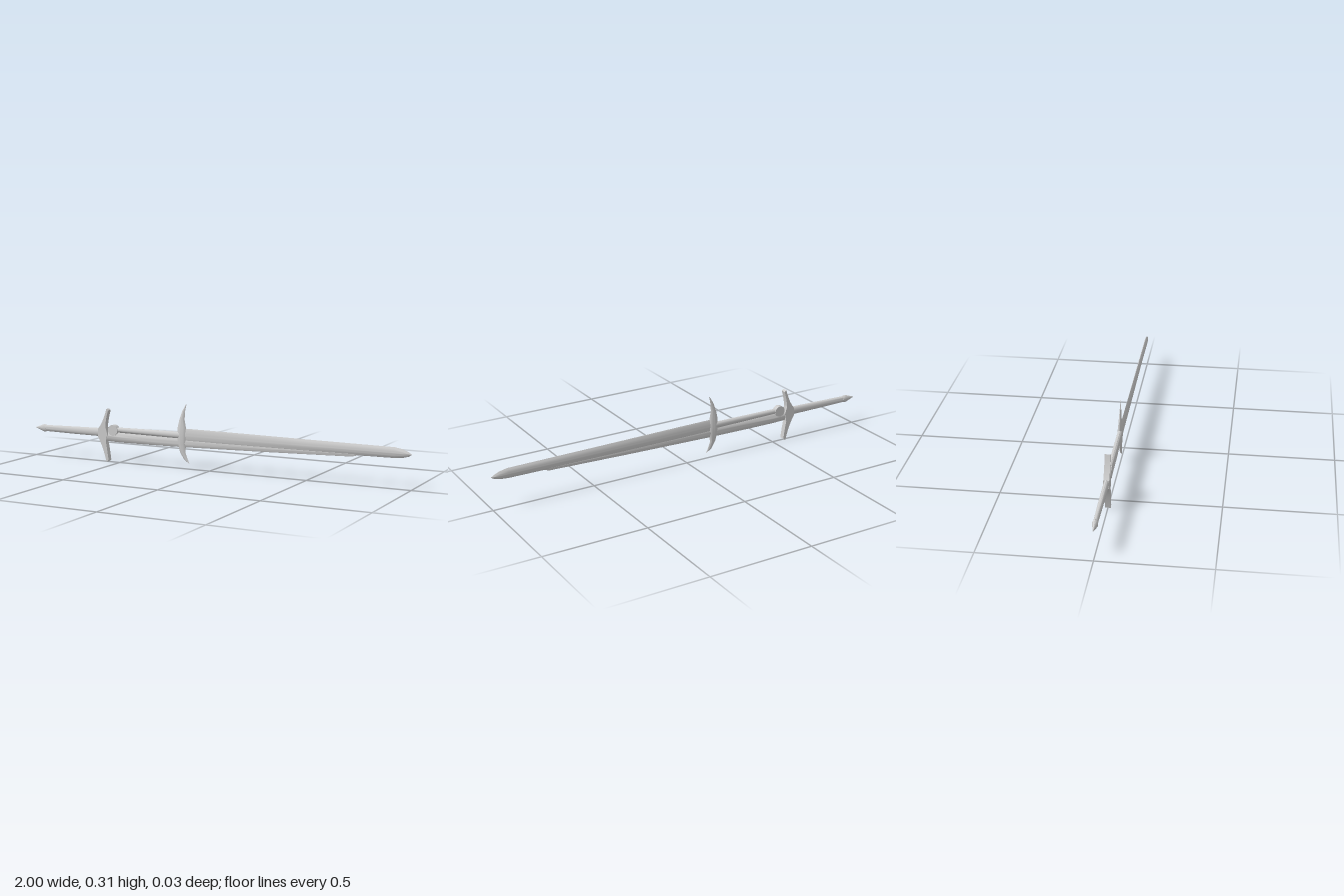
import * as THREE from 'three';
import { toCreasedNormals } from 'three/addons/utils/BufferGeometryUtils.js';

const material = new THREE.MeshStandardMaterial({ color: 0xcccccc });

// Loft through stations [along, low, high, halfDepth].
// power 1 gives an oval section, 2 a diamond; upright runs the loft along y.
function loft(stations, power, sides, upright = false) {
  const pos = [], index = [];
  const bend = v => Math.sign(v) * Math.abs(v) ** power;
  const add = (a, b, z) => (upright ? pos.push(b, a, z) : pos.push(a, b, z));
  const face = (a, b, c) => (upright ? index.push(a, c, b) : index.push(a, b, c));
  for (const [along, low, high, depth] of stations) {
    for (let j = 0; j < sides; j++) {
      const t = (j / sides) * Math.PI * 2;
      add(along, (low + high) / 2 + ((high - low) / 2) * bend(Math.sin(t)), depth * bend(Math.cos(t)));
    }
  }
  const last = stations.length - 1;
  const start = pos.length / 3;
  for (const s of [stations[0], stations[last]]) add(s[0], (s[1] + s[2]) / 2, 0);
  for (let j = 0; j < sides; j++) {
    const k = (j + 1) % sides;
    for (let i = 0; i < last; i++) {
      const a = i * sides, b = a + sides;
      face(a + j, b + j, a + k);
      face(b + j, b + k, a + k);
    }
    face(start, j, k);
    face(start + 1, last * sides + k, last * sides + j);
  }
  const geometry = new THREE.BufferGeometry();
  geometry.setAttribute('position', new THREE.Float32BufferAttribute(pos, 3));
  geometry.setIndex(index);
  return toCreasedNormals(geometry, 0.6);
}

export function createModel() {
  const group = new THREE.Group();
  const part = (name, geometry) => {
    const mesh = new THREE.Mesh(geometry, material);
    mesh.name = name;
    group.add(mesh);
    return mesh;
  };

  // Pointed pommel and oval grip
  part('pommel', loft([
    [-1, 0.141, 0.143, 0.001], [-0.945, 0.123, 0.163, 0.013], [-0.932, 0.126, 0.159, 0.011],
  ], 1, 12));
  part('grip', loft([
    [-0.94, 0.127, 0.158, 0.01], [-0.78, 0.125, 0.162, 0.012], [-0.59, 0.124, 0.166, 0.012],
  ], 1, 16));

  // Flat rear guard with swept arms
  const arm = new THREE.Shape();
  arm.moveTo(-0.557, 0.258);
  arm.lineTo(-0.567, 0.265);
  arm.quadraticCurveTo(-0.585, 0.2, -0.617, 0.162);
  arm.lineTo(-0.617, 0.122);
  arm.quadraticCurveTo(-0.59, 0.08, -0.569, 0);
  arm.lineTo(-0.557, 0.008);
  arm.quadraticCurveTo(-0.566, 0.075, -0.572, 0.1);
  arm.lineTo(-0.563, 0.14);
  arm.lineTo(-0.574, 0.175);
  arm.quadraticCurveTo(-0.572, 0.21, -0.557, 0.258);
  const rear = new THREE.ExtrudeGeometry(arm, { depth: 0.026, bevelEnabled: false, curveSegments: 8 });
  rear.translate(0, 0, -0.013);
  part('rearGuard', toCreasedNormals(rear, 0.5));

  // Round collar and the rod joining both guards
  const collar = new THREE.CylinderGeometry(0.027, 0.027, 0.026, 20);
  collar.rotateX(Math.PI / 2);
  part('collar', collar).position.set(-0.532, 0.16, 0);
  part('rod', loft([[-0.54, 0.15, 0.175, 0.011], [-0.15, 0.146, 0.179, 0.011]], 1, 14));

  // Slim lower blade running beneath the rod and main blade
  part('lowerBlade', loft([
    [-0.6, 0.104, 0.154, 0.01], [-0.5, 0.101, 0.15, 0.01], [-0.34, 0.102, 0.148, 0.009],
    [-0.14, 0.105, 0.146, 0.005], [0.3, 0.116, 0.148, 0.004], [0.72, 0.129, 0.15, 0.003],
    [0.77, 0.144, 0.15, 0.001],
  ], 1.6, 16));

  // Crescent front guard tapering to points
  part('frontGuard', loft([
    [0.028, -0.112, -0.108, 0.002], [0.045, -0.138, -0.117, 0.004], [0.08, -0.16, -0.13, 0.007],
    [0.12, -0.171, -0.127, 0.01], [0.16, -0.175, -0.124, 0.013], [0.2, -0.172, -0.127, 0.009],
    [0.24, -0.162, -0.134, 0.006], [0.28, -0.147, -0.131, 0.003], [0.313, -0.127, -0.124, 0.001],
  ], 1.3, 16, true));

  // Main blade with a blunt point
  part('mainBlade', loft([
    [-0.15, 0.129, 0.196, 0.005], [0.05, 0.13, 0.195, 0.006], [0.5, 0.135, 0.191, 0.008],
    [0.92, 0.139, 0.188, 0.009], [0.96, 0.143, 0.181, 0.008], [0.985, 0.15, 0.17, 0.005],
    [1, 0.159, 0.161, 0.001],
  ], 1.4, 20));

  return group;
}
